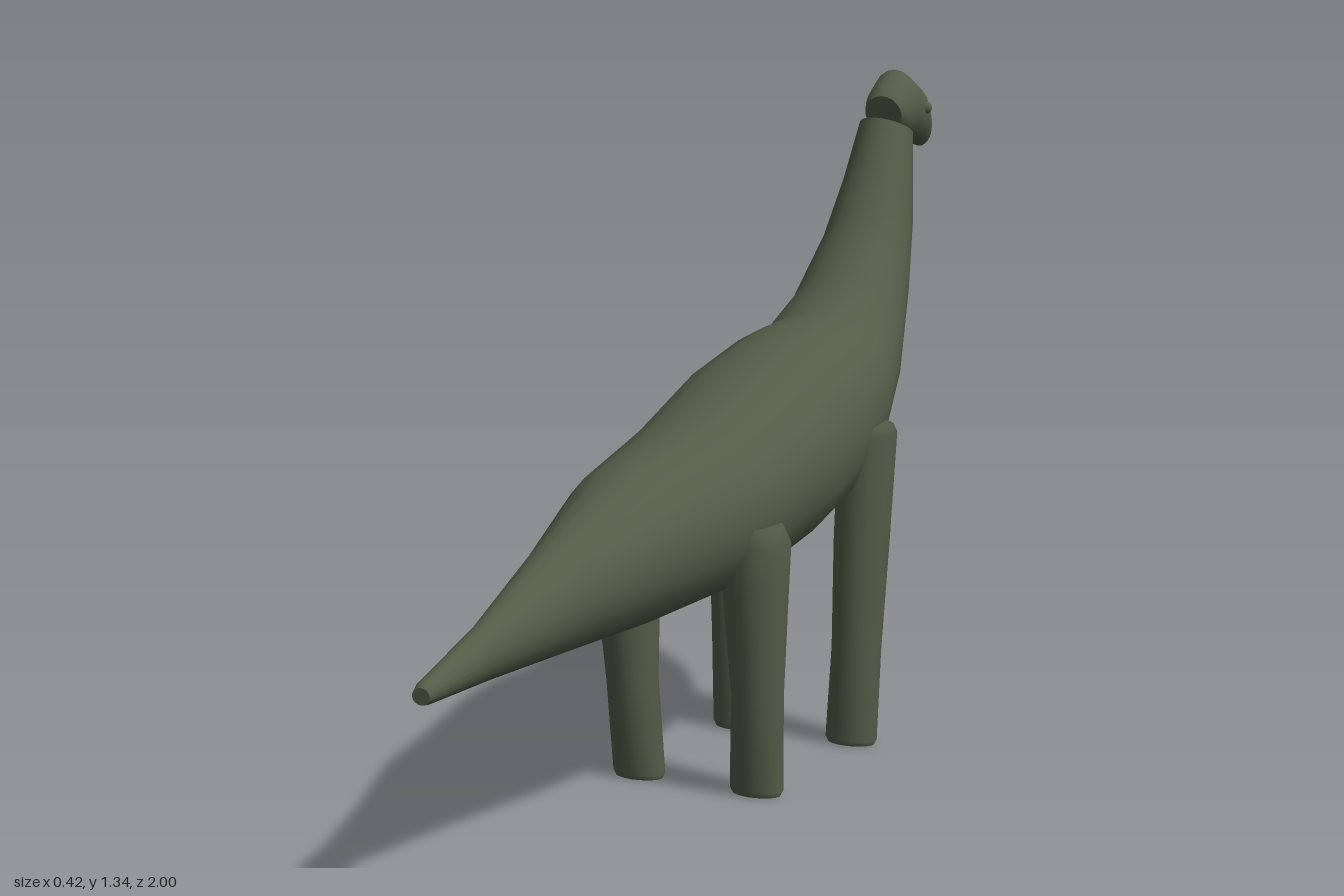
import * as THREE from 'three';

const SIDES = 20;

// Skin elliptical rings { c: centre, u: half-width vector, v: half-depth vector } and cap both ends
function loft(rings) {
  const pos = [], idx = [];
  const addRing = ({ c, u, v }) => {
    const base = pos.length / 3;
    for (let j = 0; j < SIDES; j++) {
      const a = (j / SIDES) * Math.PI * 2;
      const p = c.clone().addScaledVector(u, Math.cos(a)).addScaledVector(v, Math.sin(a));
      pos.push(p.x, p.y, p.z);
    }
    return base;
  };
  const bases = rings.map(addRing);
  for (let i = 0; i < rings.length - 1; i++) {
    for (let j = 0; j < SIDES; j++) {
      const k = (j + 1) % SIDES;
      const a = bases[i] + j, b = bases[i] + k, c = bases[i + 1] + k, d = bases[i + 1] + j;
      idx.push(a, d, b, b, d, c);
    }
  }
  // caps have their own vertices so their rims stay crisp
  [rings[0], rings[rings.length - 1]].forEach((ring, end) => {
    const base = addRing(ring);
    const mid = pos.length / 3;
    pos.push(ring.c.x, ring.c.y, ring.c.z);
    for (let j = 0; j < SIDES; j++) {
      const p = base + j, q = base + (j + 1) % SIDES;
      if (end) idx.push(mid, q, p);
      else idx.push(mid, p, q);
    }
  });
  const g = new THREE.BufferGeometry();
  g.setAttribute('position', new THREE.Float32BufferAttribute(pos, 3));
  g.setIndex(idx);
  g.computeVertexNormals();
  return g;
}

// Section through the spine: top point, bottom point, half width
const spine = ([tz, ty, bz, by, w]) => ({
  c: new THREE.Vector3(0, (ty + by) / 2, (tz + bz) / 2),
  u: new THREE.Vector3(w, 0, 0),
  v: new THREE.Vector3(0, (ty - by) / 2, (tz - bz) / 2),
});

// Level section through a leg: height, centre x and z, radii in x and z
const level = ([y, x, z, rx, rz]) => ({
  c: new THREE.Vector3(x, y, z),
  u: new THREE.Vector3(rx, 0, 0),
  v: new THREE.Vector3(0, 0, rz),
});

// Tail tip to top of neck
const BODY = [
  [1.0, 0.415, 1.0, 0.385, 0.018],
  [0.985, 0.425, 0.985, 0.383, 0.022],
  [0.8, 0.485, 0.8, 0.383, 0.038],
  [0.55, 0.585, 0.55, 0.38, 0.082],
  [0.32, 0.678, 0.3, 0.378, 0.14],
  [0.08, 0.73, 0.0, 0.385, 0.178],
  [-0.15, 0.81, -0.24, 0.43, 0.195],
  [-0.34, 0.855, -0.36, 0.46, 0.187],
  [-0.46, 0.865, -0.5, 0.525, 0.165],
  [-0.56, 0.935, -0.64, 0.625, 0.132],
  [-0.65, 1.05, -0.75, 0.8, 0.1],
  [-0.7, 1.15, -0.82, 0.96, 0.078],
  [-0.74, 1.243, -0.865, 1.19, 0.055],
];

// Back of skull to snout
const HEAD = [
  [-0.775, 1.285, -0.795, 1.21, 0.042],
  [-0.795, 1.308, -0.82, 1.19, 0.052],
  [-0.838, 1.337, -0.865, 1.184, 0.058],
  [-0.912, 1.303, -0.915, 1.178, 0.05],
  [-0.965, 1.253, -0.95, 1.17, 0.034],
  [-0.993, 1.222, -0.966, 1.166, 0.022],
  [-1.0, 1.21, -0.974, 1.17, 0.014],
];

const FRONT_LEG = [
  [0, 0.13, -0.385, 0.05, 0.032],
  [0.01, 0.13, -0.385, 0.055, 0.038],
  [0.2, 0.138, -0.39, 0.051, 0.05],
  [0.42, 0.143, -0.4, 0.056, 0.062],
  [0.64, 0.152, -0.405, 0.057, 0.07],
  [0.658, 0.152, -0.405, 0.05, 0.06],
];

const HIND_LEG = [
  [0, 0.13, 0.033, 0.05, 0.032],
  [0.01, 0.13, 0.033, 0.055, 0.037],
  [0.2, 0.138, 0.045, 0.051, 0.052],
  [0.4, 0.14, 0.057, 0.062, 0.067],
  [0.5, 0.148, 0.062, 0.06, 0.072],
  [0.535, 0.148, 0.062, 0.045, 0.055],
];

export function createModel() {
  const group = new THREE.Group();
  const hide = new THREE.MeshStandardMaterial({ color: 0x545c48 });
  hide.name = 'mossGreenHide';

  const add = (name, geometry) => {
    const mesh = new THREE.Mesh(geometry, hide);
    mesh.name = name;
    group.add(mesh);
    return mesh;
  };

  add('bodyTailAndNeck', loft(BODY.map(spine)));
  add('head', loft(HEAD.map(spine)));

  for (const [side, s] of [['Left', 1], ['Right', -1]]) {
    const mirrored = (rows) => rows.map(([y, x, ...rest]) => level([y, s * x, ...rest]));
    add('frontLeg' + side, loft(mirrored(FRONT_LEG)));
    add('hindLeg' + side, loft(mirrored(HIND_LEG)));
    add('eye' + side, new THREE.SphereGeometry(0.013, 12, 8)).position.set(s * 0.05, 1.255, -0.89);
  }
  return group;
}
